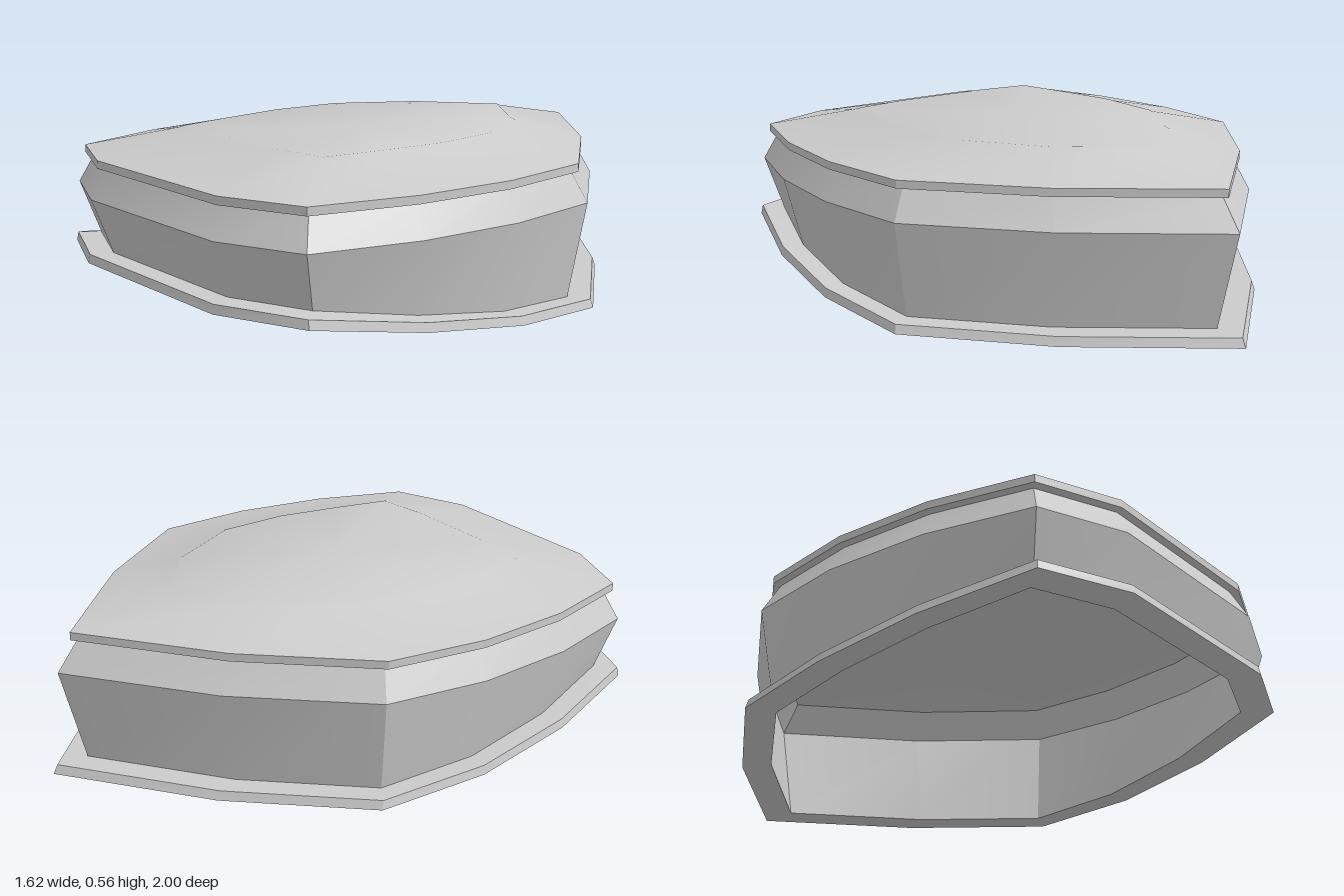
import * as THREE from 'three';
import { toCreasedNormals } from 'three/addons/utils/BufferGeometryUtils.js';

// Half plan outline [x, z] from the pointed back tip to the blunt front
const OUTLINE = [[0, -1], [0.44, -0.63], [0.772, -0.225], [0.81, 0.15], [0.772, 0.52], [0.665, 0.88], [0.365, 1]];
// Underside height of the flange at each outline point: flat back, raised front
const SWEEP = [0, 0, 0, 0.03, 0.08, 0.14, 0.14];
// Half outline of the raised panel on the lid
const PANEL = [[0, -0.565], [0.26, -0.37], [0.43, -0.1], [0.455, 0.16], [0.425, 0.4], [0.39, 0.61], [0.19, 0.638]];

// Mirror half a ring of points into a closed loop
function mirrorRing(half) {
  const other = half.slice(1).reverse().map((p) => new THREE.Vector3(-p.x, p.y, p.z));
  return [...half, ...other];
}

// Outline fitted to a half width and to front and back ends; swept rings follow the flange
function ring(halfWidth, front, back, y, swept = false) {
  return mirrorRing(OUTLINE.map(([x, z], i) => new THREE.Vector3(
    x * halfWidth / 0.81,
    y + (swept ? SWEEP[i] : 0),
    (front + back) / 2 + z * (front - back) / 2
  )));
}

function panelRing(scale, y) {
  return mirrorRing(PANEL.map(([x, z]) => new THREE.Vector3(x * scale, y, z * scale)));
}

// A ring collapsed to one point, used to close a surface
const centre = (y) => Array.from({ length: 13 }, () => new THREE.Vector3(0, y, 0.1));

// Skin successive rings, dropping triangles that collapse at a centre point
function loft(name, rings, material) {
  const pos = [];
  const tri = (a, b, c) => {
    if (a.equals(b) || b.equals(c) || c.equals(a)) return;
    for (const p of [a, b, c]) pos.push(p.x, p.y, p.z);
  };
  for (let k = 0; k < rings.length - 1; k++) {
    const lo = rings[k], hi = rings[k + 1], n = lo.length;
    for (let i = 0; i < n; i++) {
      const j = (i + 1) % n;
      tri(lo[j], lo[i], hi[i]);
      tri(lo[j], hi[i], hi[j]);
    }
  }
  const geometry = new THREE.BufferGeometry();
  geometry.setAttribute('position', new THREE.Float32BufferAttribute(pos, 3));
  const mesh = new THREE.Mesh(toCreasedNormals(geometry, 0.5), material);
  mesh.name = name;
  return mesh;
}

export function createModel() {
  const group = new THREE.Group();
  group.name = 'hollowCover';
  const material = new THREE.MeshStandardMaterial({ color: 0xcccccc, side: THREE.DoubleSide });

  // Thin base flange, curving up toward the front
  group.add(loft('baseFlange', [
    ring(0.715, 0.9, -0.86, 0, true),
    ring(0.81, 1, -1, 0, true),
    ring(0.803, 0.995, -0.985, 0.03, true),
    ring(0.733, 0.925, -0.877, 0.03, true),
  ], material));

  // Outer wall flaring to a waist, then tapering under the lid
  group.add(loft('outerWall', [
    ring(0.733, 0.925, -0.877, 0.03, true),
    ring(0.787, 0.985, -0.957, 0.355),
    ring(0.733, 0.935, -0.88, 0.458),
  ], material));

  // Lid with an overhanging rim, shallow slope and softly bevelled flat panel
  group.add(loft('lid', [
    ring(0.733, 0.935, -0.88, 0.458),
    ring(0.762, 0.962, -0.906, 0.458),
    ring(0.762, 0.962, -0.906, 0.485),
    panelRing(1.01, 0.549),
    panelRing(0.975, 0.556),
    centre(0.556),
  ], material));

  // Inner lining of the hollow, from the ceiling down to the flange
  group.add(loft('innerLining', [
    centre(0.535),
    panelRing(0.98, 0.535),
    ring(0.71, 0.915, -0.855, 0.458),
    ring(0.765, 0.963, -0.93, 0.355),
    ring(0.715, 0.9, -0.86, 0, true),
  ], material));

  return group;
}
